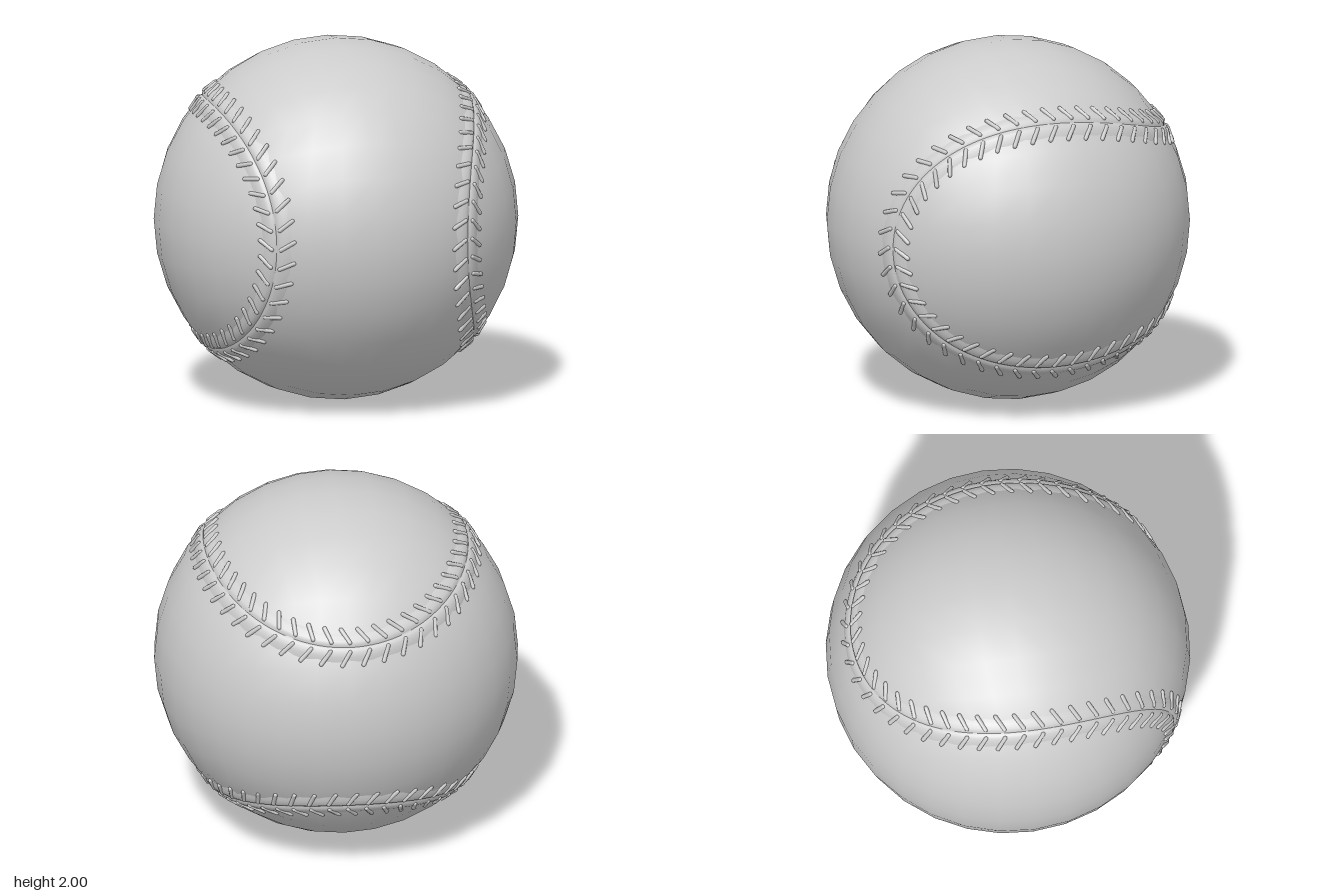
import * as THREE from 'three';
import { mergeGeometries } from 'three/addons/utils/BufferGeometryUtils.js';

const STITCHES = 96;
const material = new THREE.MeshStandardMaterial({ color: 0xcccccc });

// Closed seam curve on the unit sphere
function seamPoint(t) {
  return new THREE.Vector3(
    0.78 * Math.cos(t) - 0.24 * Math.cos(3 * t),
    0.73 * Math.sin(t) + 0.235 * Math.sin(3 * t),
    -0.015 + 0.855 * Math.cos(2 * t)
  ).normalize();
}

// Evenly spaced frames along the seam: normal, tangent, sideways
function seamFrames(count) {
  const points = Array.from({ length: 400 }, (_, i) => seamPoint((i / 400) * Math.PI * 2));
  const curve = new THREE.CatmullRomCurve3(points, true);
  curve.arcLengthDivisions = 1600;
  return Array.from({ length: count }, (_, i) => {
    const normal = curve.getPointAt(i / count).normalize();
    const tangent = curve.getTangentAt(i / count);
    const side = new THREE.Vector3().crossVectors(normal, tangent).normalize();
    return { normal, tangent, side };
  });
}

// Point beside the seam: u sideways, v along it, at radius r
function offset({ normal, tangent, side }, u, v, r) {
  return normal.clone().addScaledVector(side, u).addScaledVector(tangent, v).setLength(r);
}

// Cube grid blown up into an even sphere
function ballGeometry() {
  const geometry = new THREE.BoxGeometry(2, 2, 2, 8, 8, 8);
  const { position, normal } = geometry.attributes;
  const p = new THREE.Vector3();
  for (let i = 0; i < position.count; i++) {
    p.fromBufferAttribute(position, i);
    p.set(...p.toArray().map((v) => Math.tan((v * Math.PI) / 4))).normalize();
    position.setXYZ(i, p.x, p.y, p.z);
    normal.setXYZ(i, p.x, p.y, p.z);
  }
  return geometry;
}

// One raised lip of leather beside the seam line; profile runs by rising u
function lipGeometry(profile) {
  const frames = seamFrames(240);
  const positions = [];
  const index = [];
  const n = profile.length;
  frames.forEach((frame, i) => {
    const next = (i + 1) % frames.length;
    profile.forEach(([u, r], j) => {
      positions.push(...offset(frame, u, 0, r).toArray());
      if (j === n - 1) return;
      const a = i * n + j;
      const b = next * n + j;
      index.push(a, b, a + 1, b, b + 1, a + 1);
    });
  });
  const geometry = new THREE.BufferGeometry();
  geometry.setAttribute('position', new THREE.Float32BufferAttribute(positions, 3));
  geometry.setIndex(index);
  geometry.computeVertexNormals();
  return geometry;
}

// Short rounded threads slanting back from the seam on one side
function stitchGeometry(sign) {
  const up = new THREE.Vector3(0, 1, 0);
  const threads = seamFrames(STITCHES).map((frame) => {
    const inner = offset(frame, sign * 0.026, 0.005, 1.004);
    const outer = offset(frame, sign * 0.1, -0.04, 0.995);
    const along = outer.clone().sub(inner);
    const thread = new THREE.CapsuleGeometry(0.012, along.length(), 3, 8);
    const turn = new THREE.Quaternion().setFromUnitVectors(up, along.normalize());
    const middle = inner.add(outer).multiplyScalar(0.5);
    return thread.applyQuaternion(turn).translate(middle.x, middle.y, middle.z);
  });
  return mergeGeometries(threads);
}

export function createModel() {
  const model = new THREE.Group();
  model.name = 'stitchedBall';
  const add = (name, geometry) => {
    const mesh = new THREE.Mesh(geometry, material);
    mesh.name = name;
    mesh.position.y = 1;
    model.add(mesh);
  };

  add('ball', ballGeometry());

  // Lips rise beside the seam line and sink into the ball
  const lip = [[0, 0.997], [0.012, 1.004], [0.03, 1.007], [0.055, 1.002], [0.085, 0.992], [0.11, 0.98]];
  const mirrored = lip.map(([u, r]) => [-u, r]).reverse();
  add('innerSeamLip', lipGeometry(lip));
  add('outerSeamLip', lipGeometry(mirrored));

  add('innerStitches', stitchGeometry(1));
  add('outerStitches', stitchGeometry(-1));
  return model;
}
